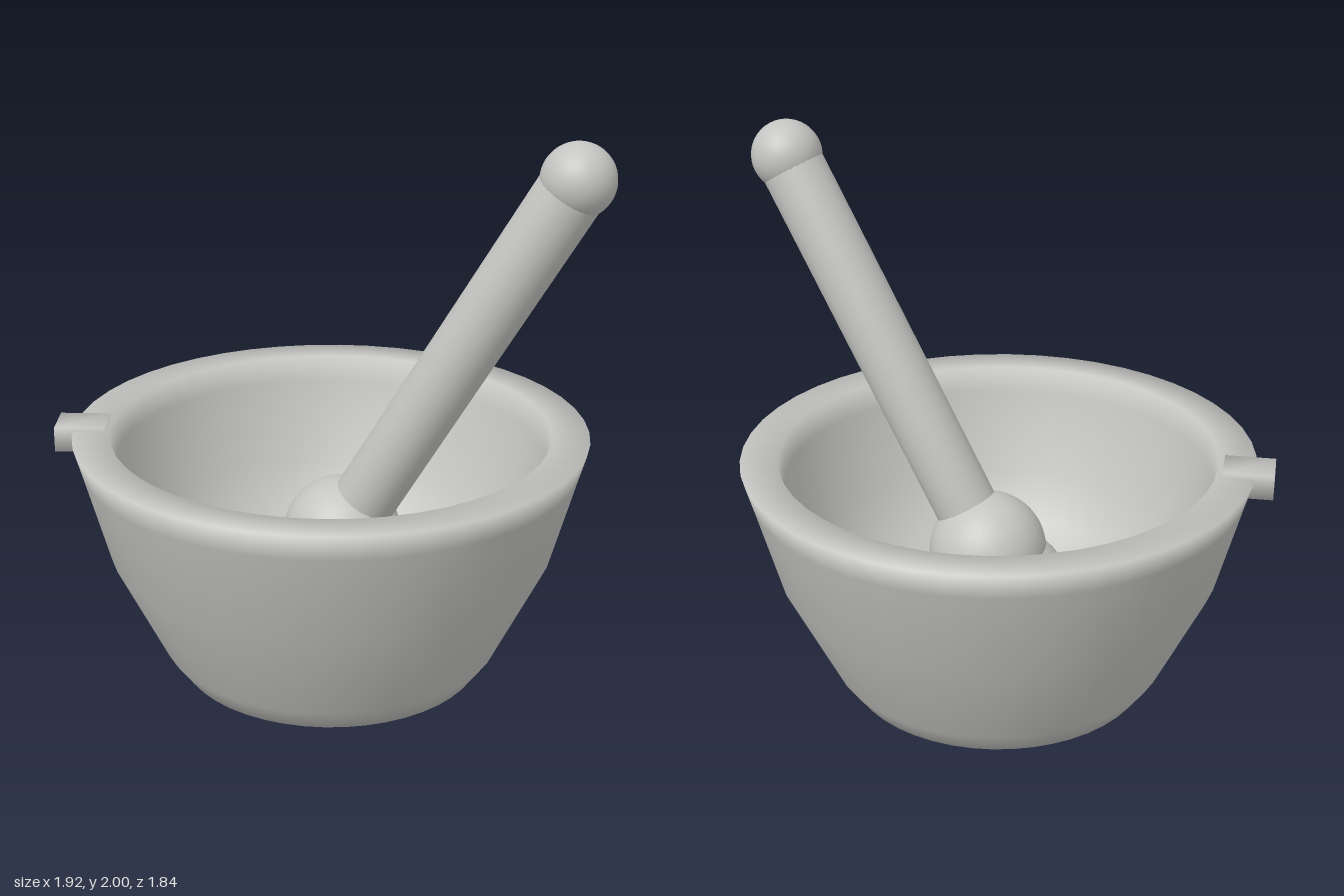
import * as THREE from 'three';
import { mergeVertices } from 'three/addons/utils/BufferGeometryUtils.js';

export function createModel() {
  const model = new THREE.Group();
  const stone = new THREE.MeshStandardMaterial({ color: 0xc4c4c2 });
  stone.name = 'grey stone';

  const add = (parent, name, geometry, position = [0, 0, 0]) => {
    const mesh = new THREE.Mesh(geometry, stone);
    mesh.name = name;
    mesh.position.set(...position);
    parent.add(mesh);
    return mesh;
  };
  const lathe = (points, segments) =>
    new THREE.LatheGeometry(points.map(([r, y]) => new THREE.Vector2(r, y)), segments);

  // Bowl: outer wall from the foot up, flat rim, then down the rounded cavity
  add(model, 'bowl', lathe([
    [0, 0], [0.555, 0], [0.62, 0.09], [0.8, 0.46], [0.893, 0.8], [0.92, 0.895],
    [0.785, 0.895], [0.77, 0.8], [0.68, 0.5], [0.57, 0.32], [0.42, 0.2], [0.22, 0.13], [0, 0.12],
  ], 48), [0.02, 0, 0]);

  // Spout: small soft-shaded block on the rim
  const block = new THREE.BoxGeometry(0.18, 0.09, 0.15);
  block.deleteAttribute('normal');
  block.deleteAttribute('uv');
  const spout = mergeVertices(block);
  spout.computeVertexNormals();
  add(model, 'spout', spout, [-0.873, 0.865, 0]);

  // Pestle: rounded grinding head, leaning shaft and end knob
  const pestle = new THREE.Group();
  pestle.name = 'pestle';
  model.add(pestle);
  const head = new THREE.Vector3(0.062, 0.49, 0.012);
  const tip = new THREE.Vector3(0.83, 1.873, 0.262);
  const axis = tip.clone().sub(head);
  add(pestle, 'grindingHead', new THREE.SphereGeometry(0.278, 32, 24), [0.02, 0.29, 0]);
  add(pestle, 'headCollar', new THREE.SphereGeometry(0.215, 32, 24), head.toArray());
  const length = axis.length();
  const shaft = add(pestle, 'shaft',
    lathe([[0, 0], [0.115, 0], [0.115, length], [0, length]], 32), head.toArray());
  shaft.quaternion.setFromUnitVectors(new THREE.Vector3(0, 1, 0), axis.normalize());
  add(pestle, 'endKnob', new THREE.SphereGeometry(0.127, 32, 24), tip.toArray());

  return model;
}
